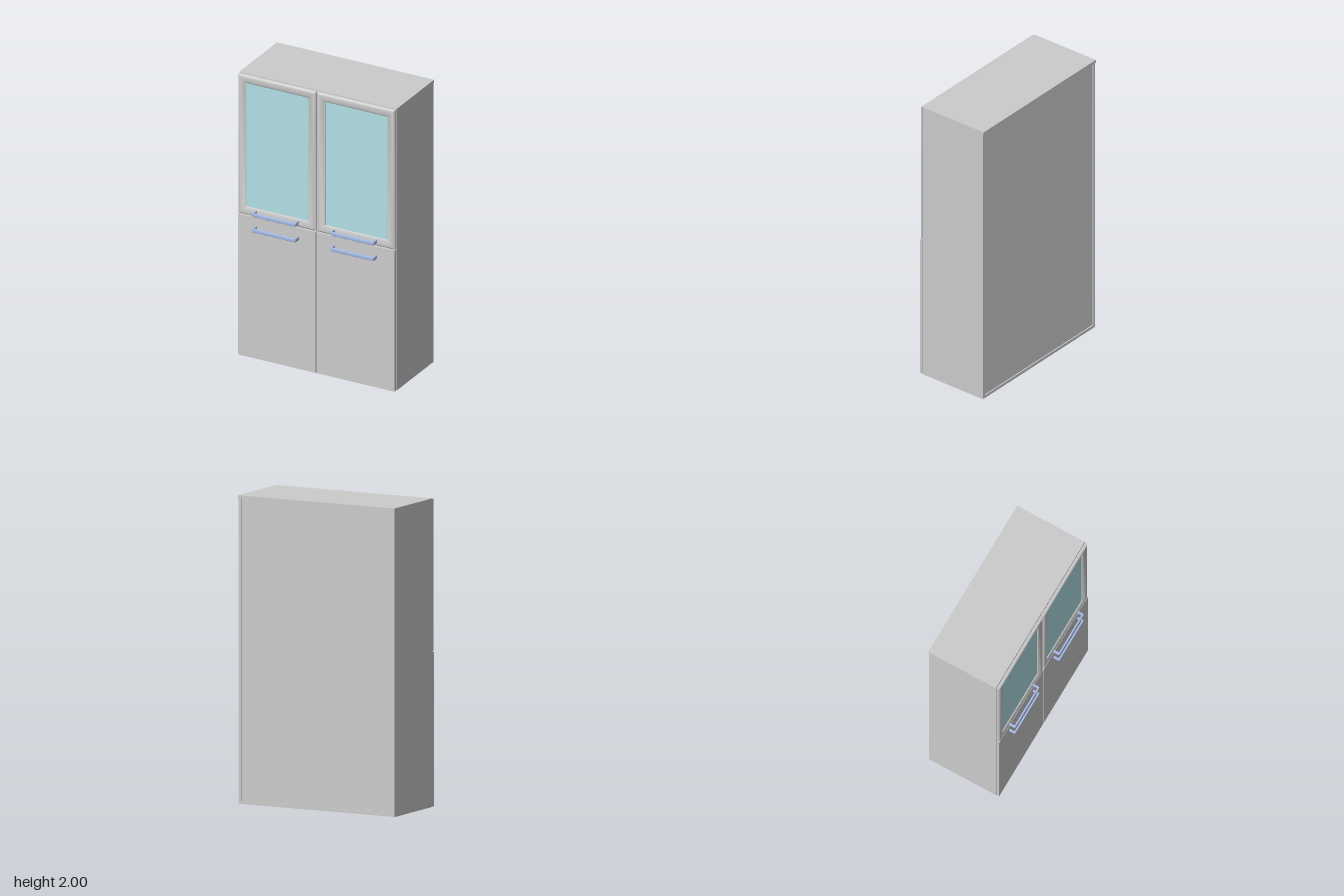
import * as THREE from 'three';
import { toCreasedNormals } from 'three/addons/utils/BufferGeometryUtils.js';

const grey = new THREE.MeshStandardMaterial({ color: 0xcccccc });
const glass = new THREE.MeshStandardMaterial({ color: 0xb0e0e6 });
const metal = new THREE.MeshStandardMaterial({ color: 0xa8bce8 });

function add(parent, name, geometry, material) {
  const mesh = new THREE.Mesh(geometry, material);
  mesh.name = name;
  parent.add(mesh);
  return mesh;
}

// Box given by its lower and upper limits on each axis
function box(parent, name, [x0, x1], [y0, y1], [z0, z1], material = grey) {
  const mesh = add(parent, name, new THREE.BoxGeometry(x1 - x0, y1 - y0, z1 - z0), material);
  mesh.position.set((x0 + x1) / 2, (y0 + y1) / 2, (z0 + z1) / 2);
}

// Mitred frame: a closed profile of [inset, z] swept round a rectangle
function mitredFrame(x0, x1, y0, y1, profile) {
  const rings = profile.map(([d, z]) => [
    [x0 + d, y0 + d, z], [x1 - d, y0 + d, z], [x1 - d, y1 - d, z], [x0 + d, y1 - d, z],
  ]);
  const points = [];
  rings.forEach((ring, i) => {
    const next = rings[(i + 1) % rings.length];
    for (let c = 0; c < 4; c++) {
      const e = (c + 1) % 4;
      points.push(...ring[c], ...ring[e], ...next[e], ...ring[c], ...next[e], ...next[c]);
    }
  });
  const geometry = new THREE.BufferGeometry();
  geometry.setAttribute('position', new THREE.Float32BufferAttribute(points, 3));
  return toCreasedNormals(geometry, 0.6);
}

// U-shaped pull: a bent flat bar with softened edges, legs towards the door
function handleGeometry() {
  const w = 0.157, reach = 0.044, t = 0.007, r = 0.012, bevel = 0.002, height = 0.026;
  const s = new THREE.Shape();
  s.moveTo(-w, 0);
  s.lineTo(-w, -reach + r);
  s.quadraticCurveTo(-w, -reach, -w + r, -reach);
  s.lineTo(w - r, -reach);
  s.quadraticCurveTo(w, -reach, w, -reach + r);
  s.lineTo(w, 0);
  s.lineTo(w - t, 0);
  s.lineTo(w - t, -reach + r);
  s.quadraticCurveTo(w - t, -reach + t, w - r, -reach + t);
  s.lineTo(-w + r, -reach + t);
  s.quadraticCurveTo(-w + t, -reach + t, -w + t, -reach + r);
  s.lineTo(-w + t, 0);
  const depth = height - 2 * bevel;
  const g = new THREE.ExtrudeGeometry(s, {
    depth, bevelEnabled: true, bevelSize: bevel, bevelThickness: bevel, bevelSegments: 3, curveSegments: 8,
  });
  g.translate(0, 0, -depth / 2);
  g.rotateX(-Math.PI / 2);
  return toCreasedNormals(g, 0.7);
}

export function createModel() {
  const cabinet = new THREE.Group();
  cabinet.name = 'cabinet';
  const W = 0.575, back = -0.28, front = 0.214, face = 0.237, t = 0.02;

  // Carcass with a back panel set in a little
  const carcass = new THREE.Group();
  carcass.name = 'carcass';
  cabinet.add(carcass);
  box(carcass, 'leftSide', [W - t, W], [0, 1.98], [back, front]);
  box(carcass, 'rightSide', [-W, -W + t], [0, 1.98], [back, front]);
  box(carcass, 'bottomPanel', [-W + t, W - t], [0, t], [back, front]);
  box(carcass, 'topPanel', [-W, W], [1.98, 2], [back - 0.005, front]);
  box(carcass, 'backPanel', [-W + t, W - t], [t, 1.98], [back + 0.008, back + 0.016]);

  // Rounded moulding of the glazed doors: outer edge, crown, inner edge, back
  const zb = front + 0.003;
  const moulding = [
    [0, zb], [0, 0.226], [0.002, 0.231], [0.006, 0.235], [0.012, 0.238], [0.02, 0.239],
    [0.032, 0.238], [0.043, 0.235], [0.052, 0.231], [0.057, 0.228], [0.057, zb],
  ];
  const pull = handleGeometry();

  for (const [side, sx] of [['left', 1], ['right', -1]]) {
    const [x0, x1] = sx > 0 ? [0.003, W - 0.002] : [-W + 0.002, -0.003];

    // Solid lower door
    const lower = new THREE.Group();
    lower.name = side + 'LowerDoor';
    cabinet.add(lower);
    box(lower, 'doorPanel', [x0, x1], [0.002, 1.002], [zb, face]);

    // Glazed upper door
    const upper = new THREE.Group();
    upper.name = side + 'UpperDoor';
    cabinet.add(upper);
    add(upper, 'doorFrame', mitredFrame(x0, x1, 1.007, 1.996, moulding), grey);
    box(upper, 'glassPane', [x0 + 0.055, x1 - 0.055], [1.062, 1.941], [0.219, 0.224], glass);

    // Pulls just above and below the joint between the doors
    for (const [door, y] of [[lower, 0.93], [upper, 1.04]]) {
      add(door, 'handle', pull, metal).position.set(sx * 0.286, y, face);
    }
  }
  return cabinet;
}
